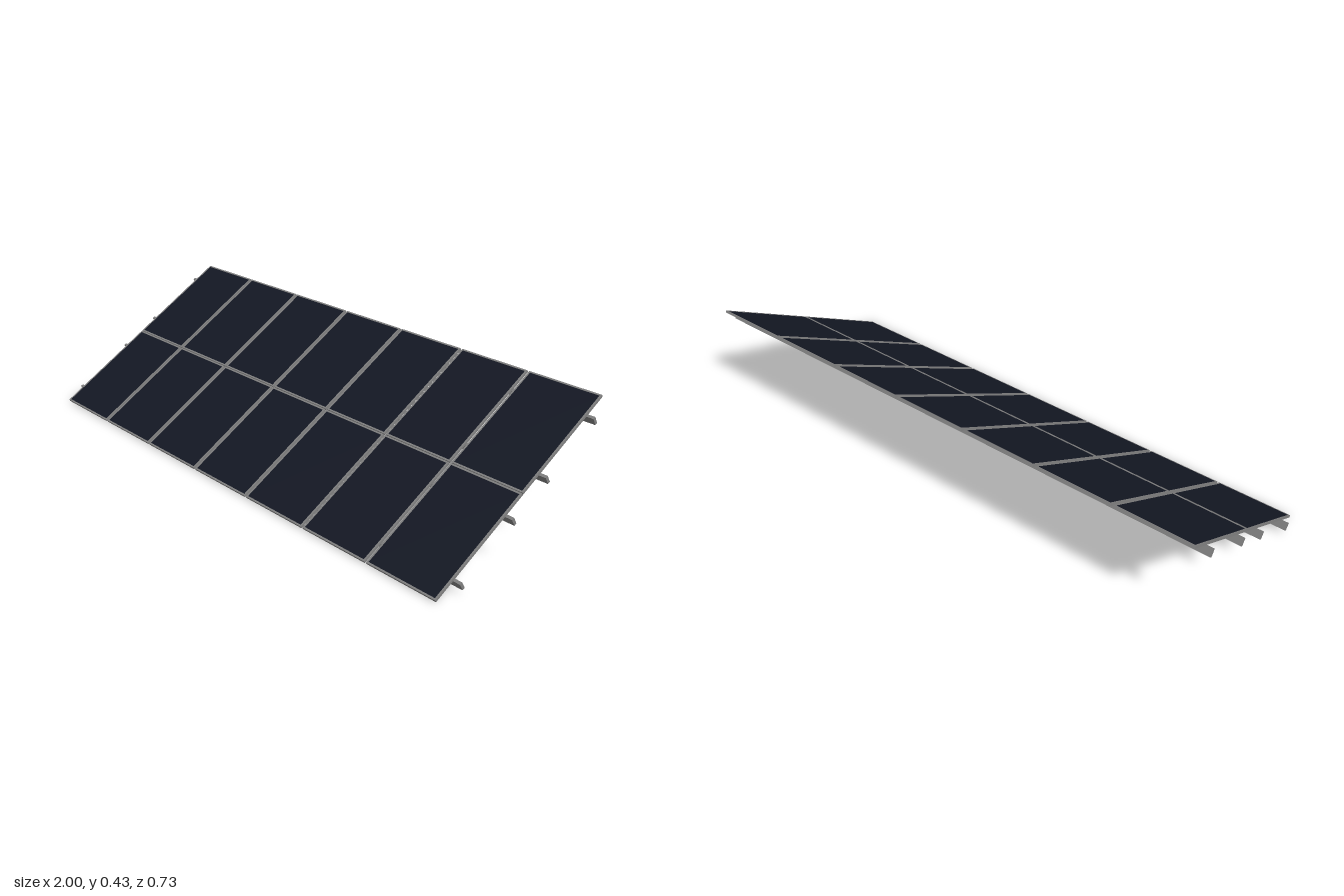
import * as THREE from 'three';

const W = 0.272, L = 0.4175, T = 0.008, RIM = 0.006;   // one panel
const PITCH_X = 0.2797, PITCH_Z = 0.4195, COLUMNS = 7;
const TILT = Math.PI / 6;

const metal = new THREE.MeshStandardMaterial({ color: 0x808080 });
const glass = new THREE.MeshStandardMaterial({ color: 0x141824 });

function box(name, w, h, d, x, y, z, material = metal) {
  const mesh = new THREE.Mesh(new THREE.BoxGeometry(w, h, d), material);
  mesh.name = name;
  mesh.position.set(x, y, z);
  return mesh;
}

// Rectangular frame with a window for the cells
function frameGeometry() {
  const rect = (path, w, l) => path
    .moveTo(-w / 2, -l / 2).lineTo(w / 2, -l / 2)
    .lineTo(w / 2, l / 2).lineTo(-w / 2, l / 2).closePath();
  const shape = rect(new THREE.Shape(), W, L);
  shape.holes.push(rect(new THREE.Path(), W - 2 * RIM, L - 2 * RIM));
  const g = new THREE.ExtrudeGeometry(shape, { depth: T, bevelEnabled: false });
  return g.translate(0, 0, -T / 2).rotateX(-Math.PI / 2);
}

function createPanel(frameGeo) {
  const panel = new THREE.Group();
  panel.name = 'solarPanel';
  const frame = new THREE.Mesh(frameGeo, metal);
  frame.name = 'panelFrame';
  const w = W - 2 * RIM, l = L - 2 * RIM;
  panel.add(
    frame,
    box('backSheet', w, T * 0.6, l, 0, -T * 0.2, 0),
    box('cellGlass', w, T * 0.3, l, 0, T * 0.25, 0, glass)
  );
  return panel;
}

export function createModel() {
  const model = new THREE.Group();
  model.name = 'solarArray';

  // Everything is laid out flat, then tilted with the front edge down
  const deck = new THREE.Group();
  deck.name = 'tiltedDeck';
  deck.position.y = 0.213;
  deck.rotation.x = TILT;
  model.add(deck);

  const frameGeo = frameGeometry();
  for (const side of [-1, 1]) {
    // Row of panels
    for (let i = 0; i < COLUMNS; i++) {
      const panel = createPanel(frameGeo);
      panel.position.set((i - (COLUMNS - 1) / 2) * PITCH_X, 0, side * PITCH_Z / 2);
      deck.add(panel);
    }
    // Two support rails beneath the row
    for (const offset of [-0.125, 0.125]) {
      deck.add(box('supportRail', 2, 0.027, 0.01, 0, -T / 2 - 0.0135, side * PITCH_Z / 2 + offset));
    }
  }
  return model;
}
